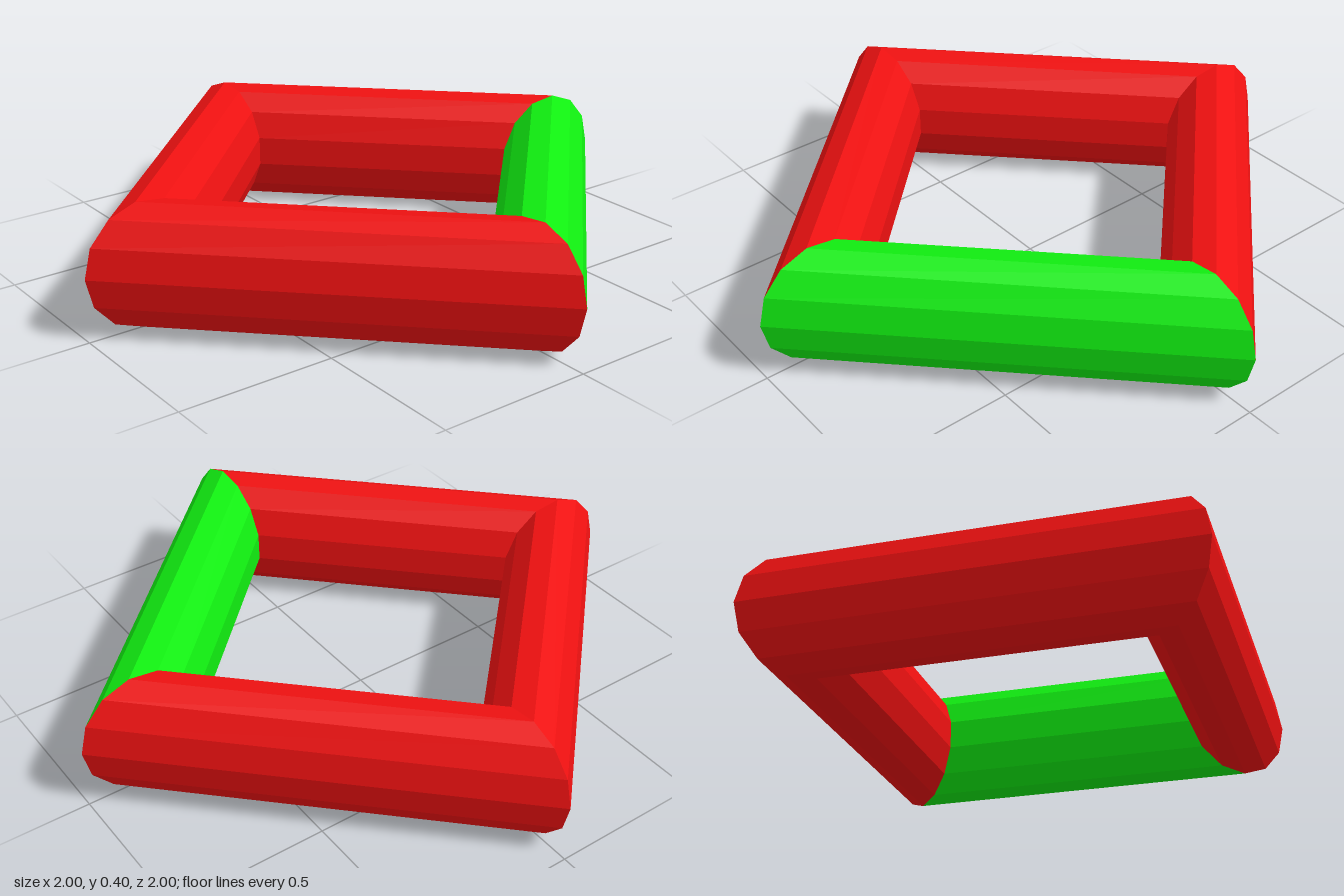
import * as THREE from 'three';

// Square ring: four straight bars, mitred at the corners
export function createModel() {
  const RING = 0.8, TUBE = 0.2, SIDES = 13;
  const group = new THREE.Group();
  group.name = 'squareRing';

  const red = new THREE.MeshStandardMaterial({ color: 0xee1111, flatShading: true });
  const green = new THREE.MeshStandardMaterial({ color: 0x11ee11, flatShading: true });

  // One bar is a quarter of a ring with a single segment, laid flat
  const bar = new THREE.TorusGeometry(RING, TUBE, SIDES, 1, Math.PI / 2);
  bar.rotateX(-Math.PI / 2);
  bar.computeBoundingBox();
  bar.translate(0, -bar.boundingBox.min.y, 0);

  // Counter-clockwise from the back left corner, which is the green bar
  ['backLeftBar', 'backRightBar', 'frontRightBar', 'frontLeftBar'].forEach((name, i) => {
    const mesh = new THREE.Mesh(bar, i === 0 ? green : red);
    mesh.name = name;
    mesh.rotation.y = i * Math.PI / 2;
    group.add(mesh);
  });
  return group;
}
